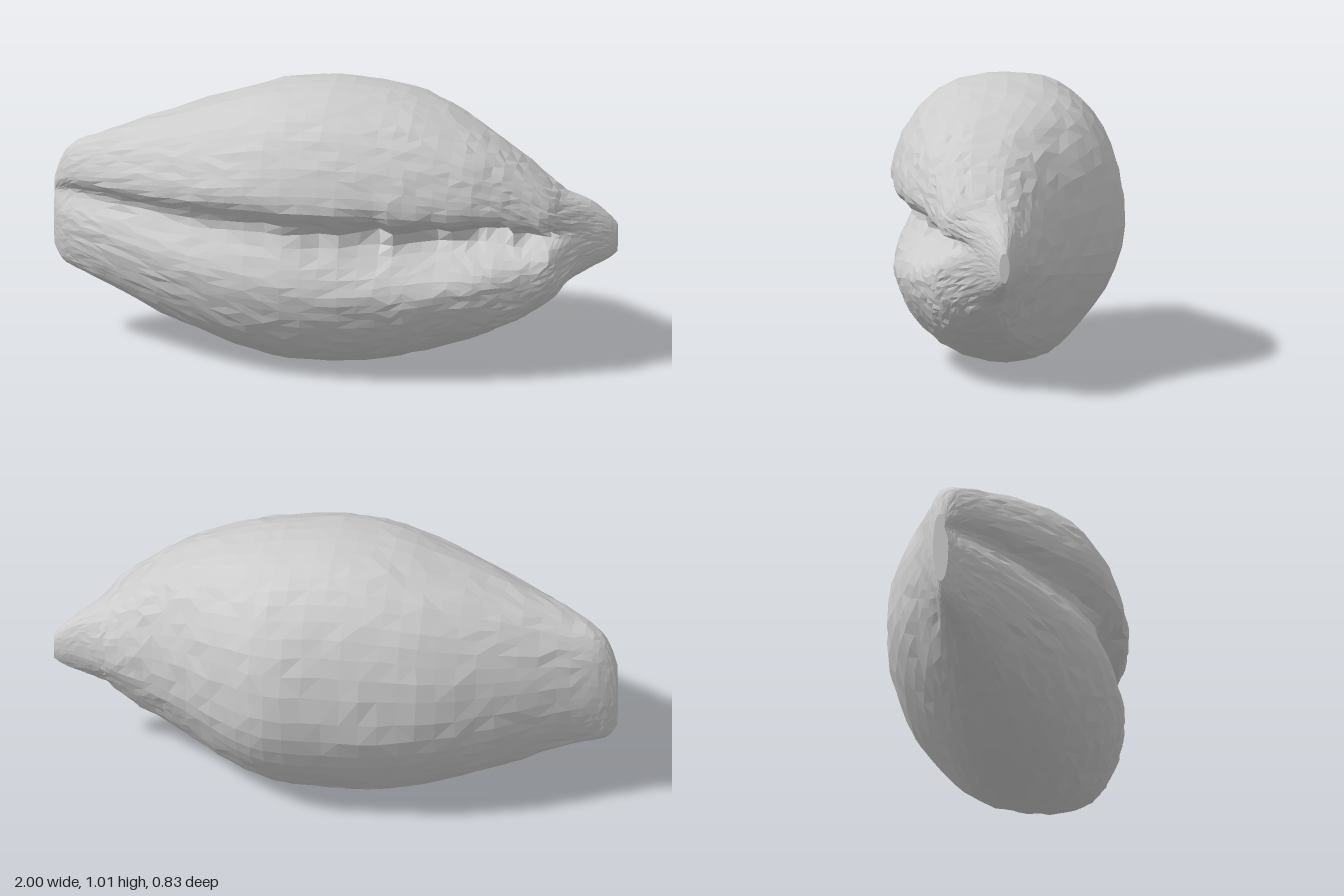
import * as THREE from 'three';

// Stations along the shell: x, bottom y, top y, back z, front z, slit depth, slit y
const stations = [
  [-1.0, 0.34, 0.60, -0.045, 0.01, 0.01, 0.55],
  [-0.97, 0.29, 0.68, -0.065, 0.04, 0.03, 0.555],
  [-0.92, 0.265, 0.735, -0.09, 0.08, 0.045, 0.56],
  [-0.8, 0.22, 0.785, -0.14, 0.16, 0.06, 0.56],
  [-0.6, 0.135, 0.86, -0.24, 0.27, 0.075, 0.56],
  [-0.4, 0.065, 0.93, -0.33, 0.36, 0.085, 0.56],
  [-0.2, 0.01, 0.99, -0.38, 0.415, 0.095, 0.56],
  [0.0, 0.0, 1.01, -0.405, 0.43, 0.12, 0.55],
  [0.2, 0.02, 0.99, -0.415, 0.415, 0.16, 0.535],
  [0.35, 0.06, 0.955, -0.36, 0.385, 0.18, 0.525],
  [0.5, 0.115, 0.89, -0.26, 0.335, 0.18, 0.525],
  [0.6, 0.16, 0.83, -0.20, 0.285, 0.16, 0.53],
  [0.7, 0.21, 0.76, -0.16, 0.235, 0.13, 0.53],
  [0.79, 0.28, 0.685, -0.13, 0.195, 0.08, 0.53],
  [0.835, 0.325, 0.645, -0.115, 0.13, 0.03, 0.53],
  [0.91, 0.365, 0.61, -0.09, 0.04, 0, 0.52],
  [0.97, 0.395, 0.56, -0.075, -0.005, 0, 0.5],
  [1.0, 0.42, 0.525, -0.065, -0.03, 0, 0.48],
];
const SIDES = 60;
const STEPS = 3;

// Repeatable noise in the range -1 to 1
const noise = (a, b) => {
  const s = Math.sin(a * 127.1 + b * 311.7) * 43758.5453;
  return (s - Math.floor(s)) * 2 - 1;
};
const power = (v, e) => Math.sign(v) * Math.pow(Math.abs(v), e);
const { smoothstep } = THREE.MathUtils;

// Smooth curves through pairs of station columns, all sharing the same x
const track = (a, b) => new THREE.CatmullRomCurve3(
  stations.map((s) => new THREE.Vector3(s[0], s[a], s[b])), false, 'catmullrom', 0.5);

function shellGeometry() {
  const heights = track(1, 2), depths = track(3, 4), slits = track(5, 6);
  const rings = (stations.length - 1) * STEPS;
  const pos = [], index = [];

  for (let i = 0; i <= rings; i++) {
    const u = i / rings;
    const { x, y: y0, z: y1 } = heights.getPoint(u);
    const { y: zBack, z: zFront } = depths.getPoint(u);
    const { y: slitDepth, z: slitY } = slits.getPoint(u);
    const h = (y1 - y0) / 2, yMid = (y0 + y1) / 2;
    const w = (zFront - zBack) / 2, zMid = (zFront + zBack) / 2;
    const rough = i > 0 && i < rings ? Math.min(0.005, w * 0.03) : 0;
    // Ragged teeth line the deeper half of the slit
    const teeth = x > -0.2 && x < 0.8 ? noise(i, 5) : 0;
    const toothedY = slitY + 0.012 * teeth;
    // The lips square off into a shoulder just before the beak
    const shoulder = smoothstep(x, 0.4, 0.78) * (1 - smoothstep(x, 0.8, 0.9));

    for (let j = 0; j < SIDES; j++) {
      // Points crowd toward the slit at the front
      const t = (j / SIDES) * Math.PI * 2;
      const angle = t - 0.45 * Math.sin(t);
      const s = Math.sin(angle), c = Math.cos(angle);
      const squareness = (s > 0 ? 2.4 : 2.15) + (c > 0 ? 0.8 * shoulder : 0);
      let y = yMid + h * power(s, 2 / squareness);
      let z = zMid + w * power(c, 2 / squareness);
      if (c > 0) {
        const d = (y - toothedY) / (h * (y > toothedY ? 0.15 : 0.25));
        z -= slitDepth * (1 + 0.2 * teeth) * Math.exp(-d * d);
      } else {
        // Back slopes away above and below its middle, hollow beside the shoulder
        z += w * 0.11 * c * c * s * s * (s < 0 ? 4 : 1);
        y -= (y - yMid) * 0.12 * shoulder * c * c;
      }
      pos.push(
        x + rough * noise(i, j),
        y + rough * noise(i + 70, j) * 0.7,
        z + rough * noise(i, j + 90) * 0.7);
    }
  }

  for (let i = 0; i < rings; i++) {
    for (let j = 0; j < SIDES; j++) {
      const k = (j + 1) % SIDES;
      const a = i * SIDES + j, b = a + SIDES;
      const c = i * SIDES + k, d = c + SIDES;
      // Mix the diagonals for an irregular faceted skin
      if (noise(i, j + 40) > 0) index.push(a, b, c, b, d, c);
      else index.push(a, b, d, a, d, c);
    }
  }

  // Close both ends
  [0, rings].forEach((ring) => {
    const s = stations[ring ? stations.length - 1 : 0];
    const centre = pos.length / 3;
    pos.push(s[0], (s[1] + s[2]) / 2, (s[3] + s[4]) / 2);
    for (let j = 0; j < SIDES; j++) {
      const a = ring * SIDES + j, b = ring * SIDES + ((j + 1) % SIDES);
      if (ring) index.push(centre, b, a);
      else index.push(centre, a, b);
    }
  });

  const geometry = new THREE.BufferGeometry();
  geometry.setAttribute('position', new THREE.Float32BufferAttribute(pos, 3));
  geometry.setIndex(index);
  geometry.computeVertexNormals();
  return geometry;
}

export function createModel() {
  const group = new THREE.Group();
  group.name = 'seashell';
  const material = new THREE.MeshStandardMaterial({ color: 0xcccccc, flatShading: true });
  const shell = new THREE.Mesh(shellGeometry(), material);
  shell.name = 'shellBody';
  group.add(shell);
  return group;
}
